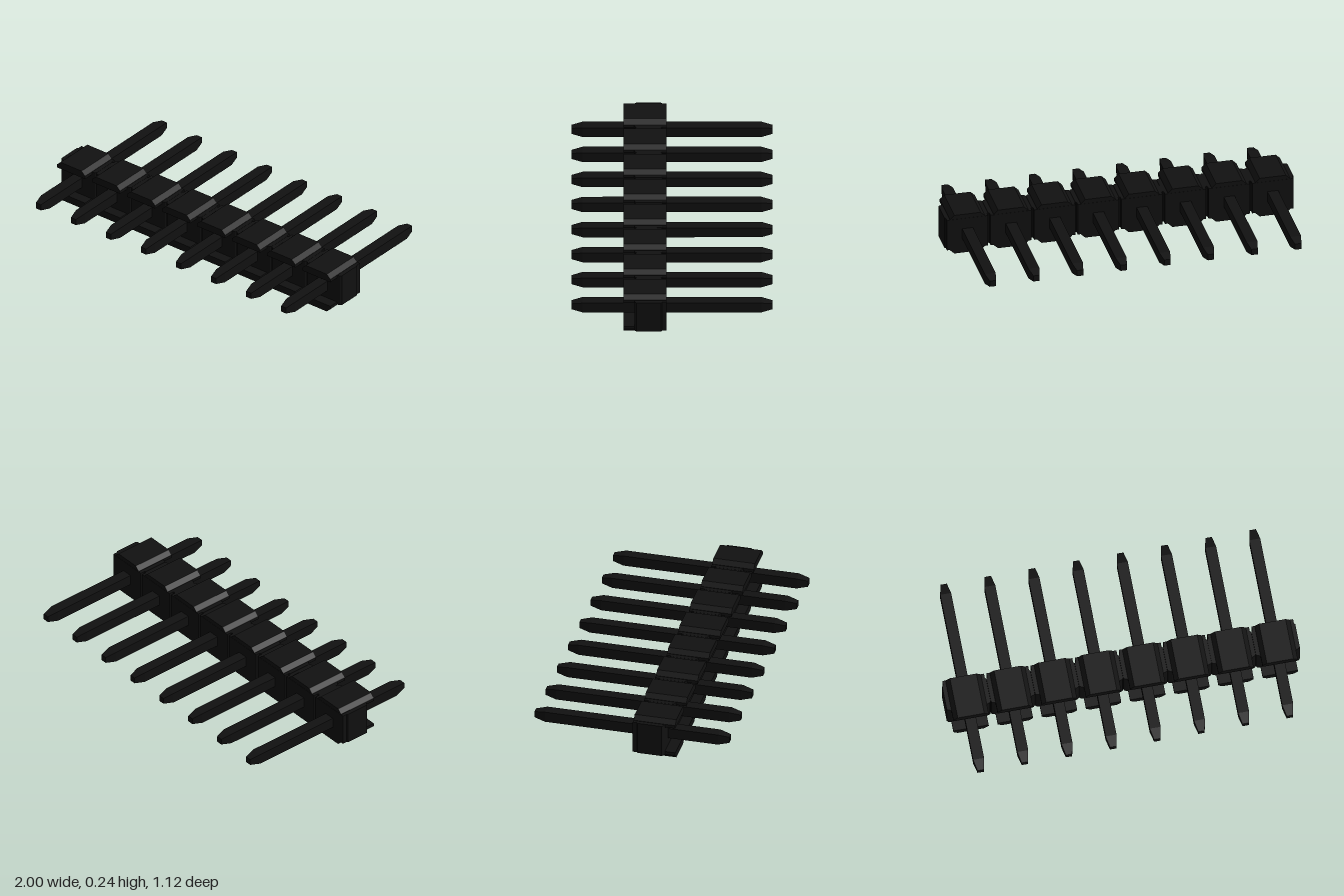
import * as THREE from 'three';

const material = new THREE.MeshStandardMaterial({ color: 0x111111, flatShading: true });
const COUNT = 8, PITCH = 0.25, MID = 0.1215;

const extrude = (points, depth) => new THREE.ExtrudeGeometry(
  new THREE.Shape(points.map(([x, y]) => new THREE.Vector2(x, y))),
  { depth, bevelEnabled: false });

// Housing block: plan outline (x, z) with notched corners, extruded upwards
function blockGeometry() {
  const half = [[0.118, 0.03], [0.118, 0.055], [0.1245, 0.061], [0.1245, 0.198], [0.118, 0.205], [0.1, 0.21]];
  const outline = [...half, ...half.map(([x, z]) => [-x, z]).reverse()].map(([x, z]) => [x, -z]);
  return extrude(outline, 0.191).rotateX(-Math.PI / 2).translate(0, MID - 0.0955, 0);
}

// Chamfered rail: cross-section (x, y) run from back to front, overhanging the block
function railGeometry() {
  return extrude([[-0.1, 0.2], [0.1, 0.2], [0.1, 0.219], [0.075, 0.243], [-0.075, 0.243], [-0.1, 0.219]], 0.239)
    .translate(0, 0, 0.031);
}

// Square pin with tapered ends, lying along z
function pinGeometry() {
  const profile = [[0, -0.56], [0.018, -0.56], [0.031, -0.497], [0.031, 0.497], [0.018, 0.56], [0, 0.56]]
    .map(([r, y]) => new THREE.Vector2(r * Math.SQRT2, y));
  return new THREE.LatheGeometry(profile, 4, Math.PI / 4).rotateX(Math.PI / 2).translate(0, MID, 0);
}

export function createModel() {
  const model = new THREE.Group();
  model.name = 'pinHeader';
  const block = blockGeometry(), topRail = railGeometry(), pin = pinGeometry();
  const bottomRail = topRail.clone().translate(0, -MID, 0).rotateZ(Math.PI).translate(0, MID, 0);

  for (let i = 0; i < COUNT; i++) {
    const cell = new THREE.Group();
    cell.name = `cell${i + 1}`;
    cell.position.x = (i - (COUNT - 1) / 2) * PITCH;
    for (const [name, geometry] of Object.entries({ block, topRail, bottomRail, pin })) {
      const mesh = new THREE.Mesh(geometry, material);
      mesh.name = name;
      cell.add(mesh);
    }
    model.add(cell);
  }
  return model;
}
